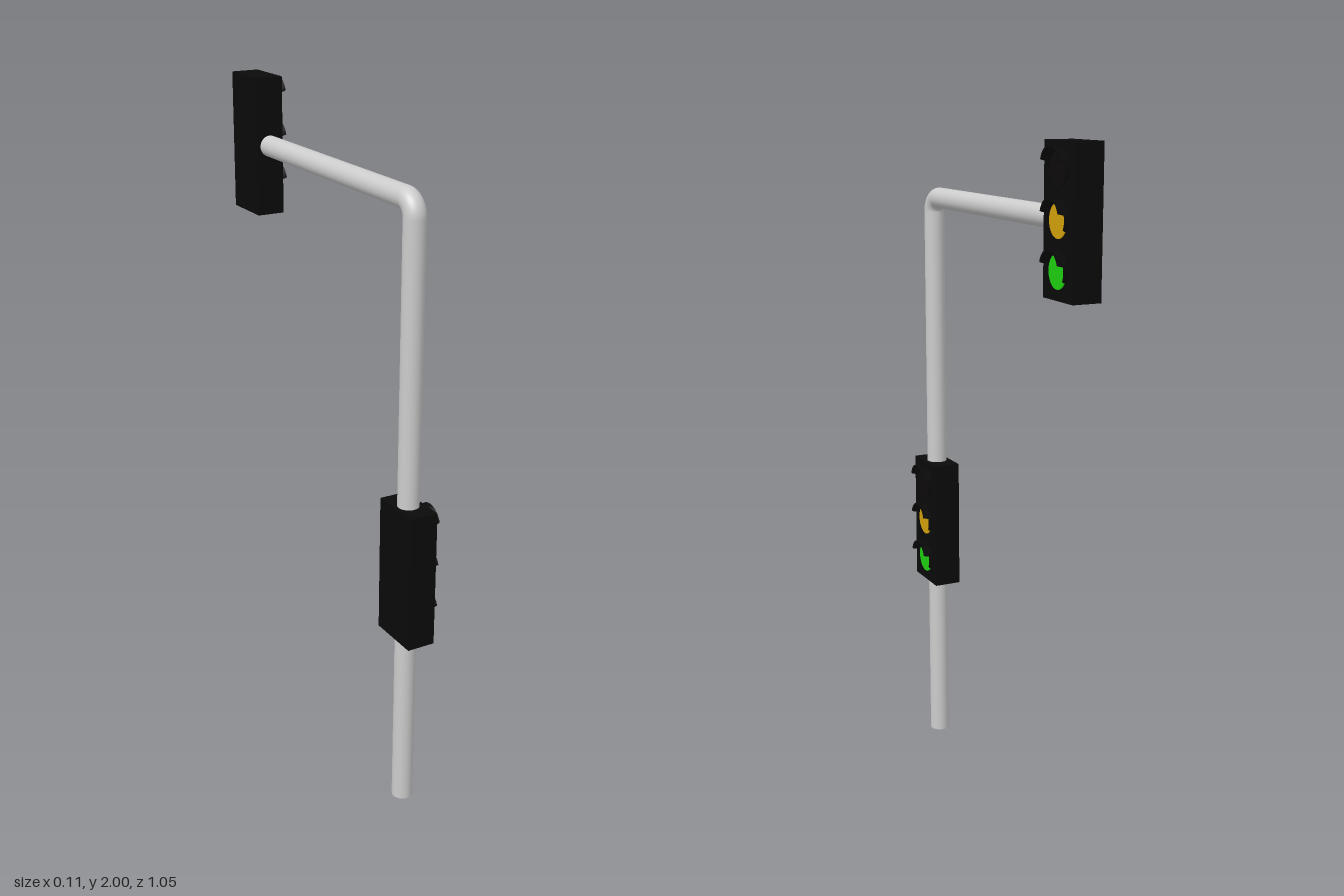
import * as THREE from 'three';

const POLE_X = -0.016, POLE_Z = 0.445, POLE_R = 0.031, ARM_Y = 1.8, BEND = 0.045;
const FACE_X = 0.027;

const paint = (color) => new THREE.MeshStandardMaterial({ color });
const grey = paint(0xcccccc);
const black = paint(0x0a0a0a);
const lampColors = { red: paint(0x0c0909), amber: paint(0xd4a20c), green: paint(0x1fd010) };

function add(parent, name, geometry, material, x = 0, y = 0, z = 0) {
  const mesh = new THREE.Mesh(geometry, material);
  mesh.name = name;
  mesh.position.set(x, y, z);
  parent.add(mesh);
  return mesh;
}

// Curved band around a lamp, extruded toward +x and rising slightly outward
function hoodGeometry(from, to, depth, rise) {
  const shape = new THREE.Shape();
  shape.absarc(0, 0, 0.053, from, to, false);
  shape.absarc(0, 0, 0.047, to, from, true);
  const geo = new THREE.ExtrudeGeometry(shape, { depth, bevelEnabled: false, curveSegments: 24 });
  const p = geo.attributes.position;
  for (let i = 0; i < p.count; i++) p.setY(i, p.getY(i) + p.getZ(i) * rise);
  geo.rotateY(Math.PI / 2);
  geo.computeVertexNormals();
  return geo;
}

// Housing with three lamps, each under its own visor
function signalHead(name, y, z) {
  const head = new THREE.Group();
  head.name = name;
  head.position.set(0, y, z);
  add(head, 'housing', new THREE.BoxGeometry(0.084, 0.406, 0.161), black, -0.015, -0.003, 0);

  const lens = new THREE.CylinderGeometry(0.046, 0.046, 0.006, 40).rotateZ(-Math.PI / 2);
  const rim = hoodGeometry(-0.5, Math.PI + 0.5, 0.01, 0.25);
  const visor = hoodGeometry(0.3, Math.PI - 0.3, 0.028, 0.25);
  Object.entries(lampColors).forEach(([color, material], i) => {
    const lampY = 0.13 * (1 - i);
    add(head, color + 'Lamp', lens, material, FACE_X, lampY, 0);
    add(head, color + 'Rim', rim, black, FACE_X, lampY, 0);
    add(head, color + 'Visor', visor, black, FACE_X, lampY, 0);
  });
  return head;
}

export function createModel() {
  const model = new THREE.Group();
  model.name = 'trafficLight';

  // Pole, elbow and arm
  const poleH = ARM_Y - BEND;
  add(model, 'pole', new THREE.CylinderGeometry(POLE_R, POLE_R, poleH, 32), grey, POLE_X, poleH / 2, POLE_Z);

  const elbow = new THREE.TorusGeometry(BEND, POLE_R, 32, 16, Math.PI / 2).rotateY(-Math.PI / 2);
  add(model, 'elbow', elbow, grey, POLE_X, poleH, POLE_Z - BEND);

  const armStart = POLE_Z - BEND, armEnd = -0.42;
  const arm = new THREE.CylinderGeometry(POLE_R, POLE_R, armStart - armEnd, 32).rotateX(Math.PI / 2);
  add(model, 'arm', arm, grey, POLE_X, ARM_Y, (armStart + armEnd) / 2);

  // Signal on the arm end and signal on the pole
  model.add(signalHead('armSignal', 1.8, -0.445));
  model.add(signalHead('poleSignal', 0.752, POLE_Z));
  return model;
}
